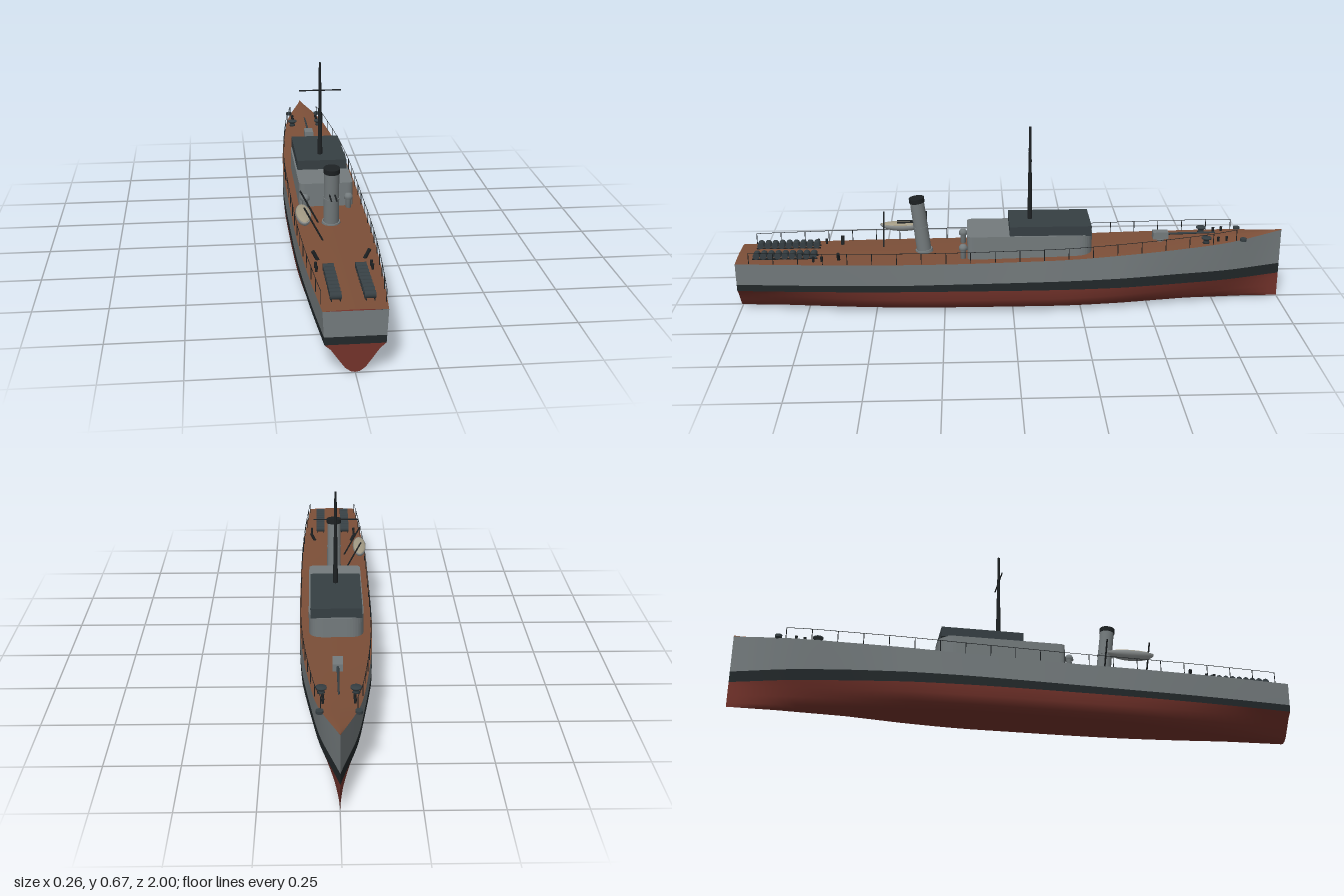
import * as THREE from 'three';

const C = { grey: 0x747b7d, dark: 0x363f43, black: 0x1d2123, red: 0x74332b, deck: 0x7c4f38, band: 0x22282a, cream: 0xa39b85, light: 0x9a9f9f };
const mat = (color, double) => new THREE.MeshStandardMaterial({ color, side: double ? THREE.DoubleSide : THREE.FrontSide });

// Hull stations from bow (z = -1) to stern (z = 1): half beam, deck height, fullness of the bottom
const stations = new THREE.CatmullRomCurve3([
  [0, 0.265, 0], [0.066, 0.245, 0.25], [0.097, 0.231, 0.55], [0.117, 0.22, 0.82], [0.128, 0.21, 1], [0.13, 0.205, 1],
  [0.13, 0.201, 1], [0.129, 0.2, 0.93], [0.123, 0.2, 0.72], [0.112, 0.2, 0.4], [0.097, 0.2, 0],
].map(p => new THREE.Vector3(...p)), false, 'catmullrom', 0.5);
const fullSection = [[0, 0], [0.35, 0.06], [0.7, 0.14], [0.87, 0.3], [0.97, 0.6], [1, 1]];
const veeSection = [[0, 0.02], [0.15, 0.05], [0.33, 0.18], [0.55, 0.48], [0.8, 0.83], [1, 1]];
const WATER = 0.093;

function station(z) {
  const p = stations.getPoint((z + 1) / 2);
  const bow = Math.max(0, -z - 0.4) / 0.6;
  return {
    beam: Math.max(0, p.x), deck: p.y, full: p.z,
    waterBeam: Math.max(0, p.x) * (1 - 0.25 * bow - 0.06 * Math.max(0, z)),
    bandTop: 0.118 + 0.014 * Math.min(1, Math.max(0, 0.4 - z)),
  };
}
const deckY = z => station(z).deck;

// Half sections of each hull zone, from low to high
const sections = {
  bottom: s => fullSection.map(([x, y], i) => [
    s.waterBeam * THREE.MathUtils.lerp(veeSection[i][0], x, s.full),
    WATER * THREE.MathUtils.lerp(veeSection[i][1], y, s.full)]),
  band: s => [[s.waterBeam, WATER], [THREE.MathUtils.lerp(s.waterBeam, s.beam, 0.25), s.bandTop]],
  side: s => [0.25, 0.65, 1].map((t, i) => [
    THREE.MathUtils.lerp(s.waterBeam, s.beam, t), THREE.MathUtils.lerp(s.bandTop, s.deck, i / 2)]),
  deck: s => [[s.beam, s.deck], [s.beam * 0.5, s.deck + 0.003], [0, s.deck + 0.004]],
};

function loft(section, side) {
  const n = 60, pos = [], idx = [];
  let m = 0;
  for (let i = 0; i <= n; i++) {
    const z = -1 + 2 * i / n, pts = section(station(z));
    m = pts.length;
    for (const [x, y] of pts) pos.push(side * x, y, z);
  }
  for (let i = 0; i < n; i++) for (let j = 0; j < m - 1; j++) {
    const a = i * m + j, b = a + m;
    if (side > 0) idx.push(a, a + 1, b, a + 1, b + 1, b);
    else idx.push(a, b, a + 1, a + 1, b, b + 1);
  }
  const g = new THREE.BufferGeometry();
  g.setAttribute('position', new THREE.Float32BufferAttribute(pos, 3));
  g.setIndex(idx);
  g.computeVertexNormals();
  return g;
}

function add(parent, name, geometry, color, pos = [0, 0, 0], double = false) {
  const mesh = new THREE.Mesh(geometry, mat(color, double));
  mesh.name = name;
  mesh.position.set(...pos);
  parent.add(mesh);
  return mesh;
}
const box = (w, h, d) => new THREE.BoxGeometry(w, h, d);
const cyl = (top, bottom, h, n = 16) => new THREE.CylinderGeometry(top, bottom, h, n);

// Straight round bar between two points
function bar(parent, name, a, b, r, color, rEnd = r, n = 8) {
  const p = new THREE.Vector3(...a), q = new THREE.Vector3(...b), d = q.clone().sub(p);
  const mesh = add(parent, name, cyl(rEnd, r, d.length(), n), color);
  mesh.position.copy(p).add(q).multiplyScalar(0.5);
  mesh.quaternion.setFromUnitVectors(new THREE.Vector3(0, 1, 0), d.normalize());
  return mesh;
}

function hull(root) {
  const g = new THREE.Group();
  g.name = 'hull';
  const colors = { bottom: C.red, band: C.band, side: C.grey, deck: C.deck };
  for (const key of Object.keys(sections)) {
    for (const side of [1, -1]) add(g, key, loft(sections[key], side), colors[key], [0, 0, 0], true);
    // Flat transom panel of the same zone
    if (key === 'deck') continue;
    const half = sections[key](station(1));
    const outline = [...half, ...half.map(([x, y]) => [-x, y]).reverse()].map(p => new THREE.Vector2(...p));
    add(g, key + 'Transom', new THREE.ShapeGeometry(new THREE.Shape(outline)), colors[key], [0, 0, 1], true);
  }
  root.add(g);
}

function railings(root) {
  for (const side of [1, -1]) {
    const g = new THREE.Group();
    g.name = side > 0 ? 'leftRailing' : 'rightRailing';
    const top = [];
    for (let i = 0; i <= 20; i++) {
      const z = 0.95 - i * 0.0885, s = station(z), x = side * (s.beam - 0.004);
      bar(g, 'railPost', [x, s.deck, z], [x, s.deck + 0.042, z], 0.0015, C.black, 0.0015, 6);
      top.push(new THREE.Vector3(x, s.deck + 0.042, z));
    }
    add(g, 'topRail', new THREE.TubeGeometry(new THREE.CatmullRomCurve3(top), 80, 0.001, 5), C.black);
    root.add(g);
  }
}

function deckhouse(root) {
  // Plan of the house: well rounded forward, small corners aft (shape y becomes -z)
  const w = 0.096, f = 0.29, a = -0.165, R = 0.06, r = 0.022;
  const s = new THREE.Shape();
  s.moveTo(-w + r, a).lineTo(w - r, a).quadraticCurveTo(w, a, w, a + r).lineTo(w, f - R)
    .quadraticCurveTo(w, f, w - R, f).lineTo(-w + R, f).quadraticCurveTo(-w, f, -w, f - R)
    .lineTo(-w, a + r).quadraticCurveTo(-w, a, -w + r, a);
  const geo = new THREE.ExtrudeGeometry(s, { depth: 0.093, bevelEnabled: false, curveSegments: 10 });
  add(root, 'deckhouse', geo.rotateX(-Math.PI / 2), C.grey, [0, 0.197, 0]);
  add(root, 'bridge', box(0.18, 0.037, 0.295), C.dark, [0, 0.306, -0.136]);
  for (const side of [1, -1]) {
    const profile = [[0, 0], [0.01, 0], [0.01, 0.035], [0.016, 0.037], [0.015, 0.048], [0.009, 0.056], [0, 0.057]];
    add(root, 'ventilator', new THREE.LatheGeometry(profile.map(p => new THREE.Vector2(...p)), 16), C.grey, [side * 0.077, 0.2, 0.18]);
  }
}

function mast(root) {
  bar(root, 'lowerMast', [0, 0.32, -0.065], [0, 0.5, -0.065], 0.009, C.black, 0.0065, 12);
  bar(root, 'topMast', [0, 0.5, -0.065], [0, 0.672, -0.065], 0.006, C.black, 0.004, 12);
  bar(root, 'yard', [-0.077, 0.568, -0.065], [0.077, 0.568, -0.065], 0.0025, C.black);
}

function funnel(root) {
  const g = new THREE.Group();
  g.name = 'funnel';
  g.position.set(0, 0.2, 0.323);
  g.rotation.x = 0.115;
  add(g, 'funnelStack', cyl(0.0255, 0.027, 0.2, 28), C.grey, [0, 0.098, 0]);
  add(g, 'funnelCap', cyl(0.028, 0.028, 0.017, 28), C.black, [0, 0.203, 0]);
  add(g, 'funnelBase', cyl(0.031, 0.033, 0.012, 28), C.grey, [0, 0.006, 0]);
  add(g, 'funnelCollar', cyl(0.028, 0.028, 0.004, 28), C.grey, [0, 0.1, 0]);
  root.add(g);
  for (const x of [-0.009, 0.009]) bar(root, 'steamPipe', [x, 0.318, 0.35], [x, 0.318, 0.42], 0.0028, C.black);
}

function lifeboat(root) {
  const g = new THREE.Group();
  g.name = 'lifeboat';
  g.position.set(-0.102, 0.272, 0.403);
  const lower = new THREE.SphereGeometry(1, 24, 10, 0, Math.PI * 2, Math.PI / 2, Math.PI / 2);
  add(g, 'boatHull', lower.scale(0.026, 0.028, 0.087), C.light, [0, 0, 0], true);
  const cover = new THREE.SphereGeometry(1, 24, 6, 0, Math.PI * 2, 0, Math.PI / 2);
  add(g, 'boatCover', cover.scale(0.024, 0.008, 0.083), C.cream);
  root.add(g);
  for (const z of [0.317, 0.475]) bar(root, 'davit', [-0.042, 0.2, z], [-0.105, 0.32, z], 0.003, C.black);
}

function sternGear(root) {
  for (const side of [1, -1]) {
    const rack = new THREE.Group();
    rack.name = 'drumRack';
    rack.position.set(side * 0.051, 0.202, 0);
    for (let i = 0; i < 9; i++) {
      add(rack, 'drum', cyl(0.012, 0.012, 0.034, 14).rotateZ(Math.PI / 2), C.dark, [0, 0.014, 0.722 + i * 0.0257]);
    }
    for (const x of [-0.013, 0.013]) add(rack, 'rackRail', box(0.003, 0.006, 0.235), C.black, [x, 0.003, 0.825]);
    root.add(rack);
    // Tilted throwers and bollards
    bar(root, 'thrower', [side * 0.075, 0.2, 0.63], [side * 0.091, 0.232, 0.63], 0.006, C.black, 0.006, 12);
    for (const z of [0.69, 0.72]) add(root, 'bollard', cyl(0.005, 0.004, 0.02, 12), C.black, [side * 0.088, 0.21, z]);
  }
}

function foredeckGear(root) {
  // Deck gun
  add(root, 'gunPedestal', cyl(0.012, 0.016, 0.016), C.grey, [0, 0.236, -0.55]);
  add(root, 'gunHousing', box(0.034, 0.026, 0.056), C.grey, [0, 0.254, -0.548]);
  bar(root, 'gunBarrel', [0, 0.256, -0.57], [0, 0.259, -0.752], 0.0045, C.dark, 0.003, 12);
  // Capstans, bollards and bow fairleads
  for (const side of [1, -1]) {
    const capstan = [[0, 0], [0.014, 0], [0.01, 0.008], [0.01, 0.014], [0.018, 0.018], [0.018, 0.023], [0, 0.024]];
    add(root, 'capstan', new THREE.LatheGeometry(capstan.map(p => new THREE.Vector2(...p)), 16), C.dark, [side * 0.055, deckY(-0.71), -0.71]);
    for (const z of [-0.755, -0.785]) add(root, 'bowBollard', cyl(0.005, 0.004, 0.018, 12), C.black, [side * 0.05, deckY(z) + 0.009, z]);
    add(root, 'fairlead', cyl(0.012, 0.012, 0.01), C.dark, [side * 0.06, deckY(-0.845) + 0.003, -0.845]);
  }
}

export function createModel() {
  const root = new THREE.Group();
  root.name = 'patrolShip';
  for (const part of [hull, railings, deckhouse, mast, funnel, lifeboat, sternGear, foredeckGear]) part(root);
  return root;
}
